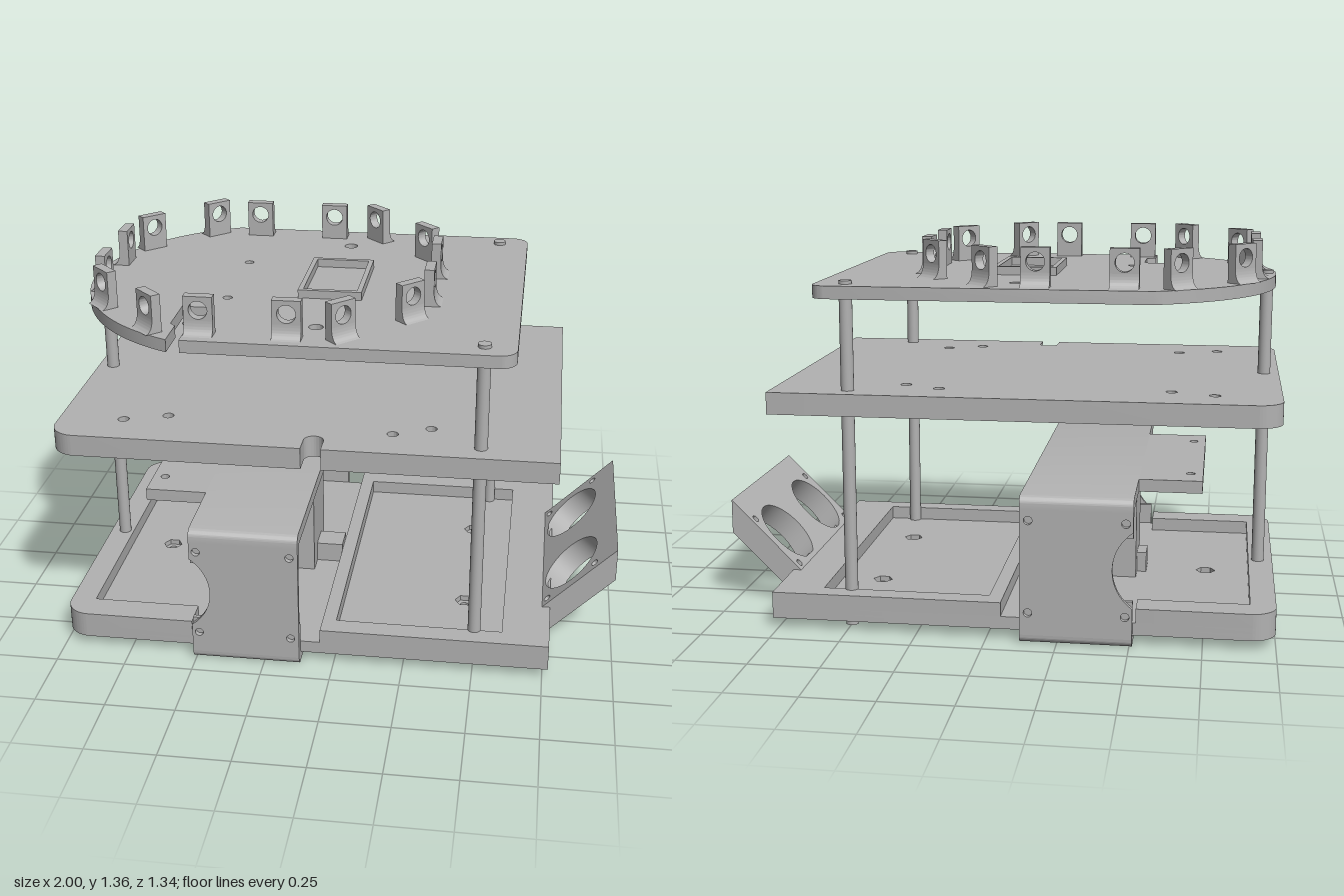
import * as THREE from 'three';
import { toCreasedNormals } from 'three/addons/utils/BufferGeometryUtils.js';

const grey = new THREE.MeshStandardMaterial({ color: 0xb2b2b2 });
grey.name = 'plain grey';

function add(parent, name, geometry) {
  const mesh = new THREE.Mesh(geometry, grey);
  mesh.name = name;
  parent.add(mesh);
  return mesh;
}

const poly = (pts) => new THREE.Shape(pts.map(([x, y]) => new THREE.Vector2(x, y)));

function extrude(shape, depth) {
  const g = new THREE.ExtrudeGeometry(shape, { depth, bevelEnabled: false, curveSegments: 20 });
  return toCreasedNormals(g, 0.6);
}

// Horizontal plate from an (x, z) outline
const slab = (shape, y0, y1) => extrude(shape, y1 - y0).rotateX(Math.PI / 2).translate(0, y1, 0);

// Bar running along x from a (z, y) outline that is symmetric in z
const barX = (shape, x0, x1) => extrude(shape, x1 - x0).rotateY(Math.PI / 2).translate(x0, 0, 0);

function box(parent, name, x0, x1, y0, y1, z0, z1) {
  const g = new THREE.BoxGeometry(x1 - x0, y1 - y0, z1 - z0);
  return add(parent, name, g.translate((x0 + x1) / 2, (y0 + y1) / 2, (z0 + z1) / 2));
}

function drill(shape, holes, r) {
  for (const [x, y] of holes) shape.holes.push(new THREE.Path().absarc(x, y, r, 0, Math.PI * 2, true));
  return shape;
}

const bothSides = (pts) => pts.flatMap(([x, z]) => [[x, z], [x, -z]]);

// Rectangular deck with rounded corners at -x, optionally notched at +z
function deckShape(notch) {
  const s = new THREE.Shape(), c = 0.09, w = 0.637;
  s.moveTo(-1 + c, -w);
  s.lineTo(0.77, -w);
  s.lineTo(0.77, w);
  if (notch) {
    s.lineTo(-0.04, w);
    s.lineTo(-0.04, w - 0.07);
    s.absarc(-0.075, w - 0.07, 0.035, 0, Math.PI, true);
    s.lineTo(-0.11, w);
  }
  s.lineTo(-1 + c, w);
  s.absarc(-1 + c, w - c, c, Math.PI / 2, Math.PI, false);
  s.absarc(-1 + c, -w + c, c, Math.PI, Math.PI * 1.5, false);
  return s;
}

function buildBase(root) {
  const g = new THREE.Group();
  g.name = 'baseTray';
  root.add(g);
  const nuts = [[0.45, 0.28], [0.45, -0.28], [-0.75, 0]];
  add(g, 'trayBottom', slab(drill(deckShape(false), nuts, 0.016), 0.035, 0.06));
  const floor = deckShape(false);
  for (const [x, z] of nuts) {
    const hex = [...Array(6).keys()].map((i) => new THREE.Vector2(
      x + 0.036 * Math.cos(-i * Math.PI / 3), z + 0.036 * Math.sin(-i * Math.PI / 3)));
    floor.holes.push(new THREE.Path(hex));
  }
  add(g, 'trayFloor', slab(floor, 0.06, 0.08));

  // Raised rims, open at the sides where the bracket passes
  const c = 0.09, w = 0.637;
  const back = new THREE.Shape();
  back.moveTo(-1 + c, -w);
  for (const [x, z] of [[-0.52, -w], [-0.52, -0.53], [-0.91, -0.53], [-0.91, 0.53], [-0.52, 0.53], [-0.52, w], [-1 + c, w]]) back.lineTo(x, z);
  back.absarc(-1 + c, w - c, c, Math.PI / 2, Math.PI, false);
  back.absarc(-1 + c, -w + c, c, Math.PI, Math.PI * 1.5, false);
  add(g, 'rearRim', slab(back, 0.08, 0.13));
  const front = poly([[-0.05, -w], [0.77, -w], [0.77, w], [-0.05, w]]);
  front.holes.push(poly([[0, -0.56], [0, 0.56], [0.6, 0.56], [0.6, -0.56]]));
  add(g, 'frontRim', slab(front, 0.08, 0.13));
}

// Sloping plate with two large sensor openings
function buildSensorMount(root) {
  const L = 0.325, t = 0.088;
  const s = poly([[-0.37, 0], [0.37, 0], [0.37, L], [-0.37, L]]);
  drill(s, [[-0.2, 0.188], [0.2, 0.188]], 0.128);
  drill(s, bothSides([[0.07, 0.333], [0.302, 0.333]]).map(([v, u]) => [u, v]), 0.014);
  let g = new THREE.ExtrudeGeometry(s, { depth: t, bevelEnabled: false, curveSegments: 24 });
  // Slant the two ends
  const p = g.attributes.position;
  for (let i = 0; i < p.count; i++) {
    if (p.getZ(i) < t / 2) continue;
    if (p.getY(i) < 1e-4) p.setY(i, 0.046);
    else if (p.getY(i) > L - 1e-4) p.setY(i, 0.413);
  }
  g = toCreasedNormals(g, 0.6);
  const k = Math.SQRT1_2;
  g.applyMatrix4(new THREE.Matrix4().makeBasis(
    new THREE.Vector3(0, 0, 1), new THREE.Vector3(k, k, 0), new THREE.Vector3(-k, k, 0)).setPosition(0.77, 0.035, 0));
  add(root, 'sensorMount', g);
}

function buildBracket(root) {
  const g = new THREE.Group();
  g.name = 'bracket';
  root.add(g);
  const x0 = -0.51, x1 = -0.12, r = 0.03, w = 0.672;

  // Bridge across the top with rounded outer edges
  const top = poly([[-w, 0.48], [w, 0.48]]);
  top.absarc(w - r, 0.525 - r, r, 0, Math.PI / 2, false);
  top.absarc(-w + r, 0.525 - r, r, Math.PI / 2, Math.PI, false);
  add(g, 'bridge', barX(top, x0, x1));
  const shelf = poly([[-0.735, -0.38], [x0, -0.38], [x0, 0.38], [-0.735, 0.38]]);
  add(g, 'shelf', slab(drill(shelf, bothSides([[-0.69, 0.27]]), 0.016), 0.48, 0.525));

  // Side panels with a curved cut-out, pads behind the screws and a foot below
  const panel = poly([[x0, 0.03], [x1, 0.03], [x1, 0.48], [x0, 0.48]]);
  const a = Math.atan2(0.135, 0.095);
  panel.absarc(-0.605, 0.275, 0.165, a, -a, true);
  drill(panel, [[-0.485, 0.44], [-0.15, 0.44], [-0.485, 0.11], [-0.15, 0.11]], 0.015);
  for (const side of [1, -1]) {
    const name = side > 0 ? 'left' : 'right';
    add(g, name + 'Panel', extrude(panel, 0.018).translate(0, 0, side > 0 ? w - 0.018 : -w));
    for (const [y0, y1] of [[0.385, 0.48], [0.03, 0.16]]) {
      const [za, zb] = side > 0 ? [0.638, w - 0.018] : [-w + 0.018, -0.638];
      box(g, name + 'Pad', x0, x1, y0, y1, za, zb);
    }
    const foot = new THREE.Shape();
    foot.moveTo(-0.4, 0);
    foot.lineTo(-0.4, 0.03);
    foot.lineTo(-w, 0.03);
    foot.absarc(-w + 0.025, 0.025, 0.025, Math.PI, Math.PI * 1.5, false);
    const fg = barX(foot, x0, x1);
    if (side < 0) fg.rotateY(Math.PI).translate(x0 + x1, 0, 0);
    add(g, name + 'Foot', fg);
  }

  // Central pillar with locating tabs
  box(g, 'pillar', -0.49, -0.15, 0.08, 0.48, -0.125, 0.125);
  box(g, 'pillarTabs', -0.525, -0.05, 0.08, 0.155, -0.05, 0.05);
}

function buildTopDeck(root) {
  const g = new THREE.Group();
  g.name = 'topDeck';
  root.add(g);
  const w = 0.632, c = 0.06, s = new THREE.Shape();
  s.moveTo(-0.56, -w);
  s.absarc(0.61 - c, -w + c, c, -Math.PI / 2, 0, false);
  s.absarc(0.61 - c, w - c, c, 0, Math.PI / 2, false);
  // Cable slot
  for (const [x, z] of [[-0.515, w], [-0.515, 0.5], [-0.48, 0.48], [-0.48, 0.31], [-0.58, 0.31], [-0.58, 0.48], [-0.56, 0.5], [-0.56, w]]) s.lineTo(x, z);
  const a = Math.atan2(w, -0.27);
  s.absarc(-0.29, 0, Math.hypot(0.27, w), a, 2 * Math.PI - a, false);
  drill(s, bothSides([[-0.08, 0.45]]), 0.025);
  drill(s, bothSides([[-0.44, 0.2]]), 0.017);
  add(g, 'topPlate', slab(s, 1.18, 1.225));

  // Raised rectangular lip
  const lip = poly([[-0.19, -0.2], [0.04, -0.2], [0.04, 0.17], [-0.19, 0.17]]);
  lip.holes.push(poly([[-0.172, -0.182], [-0.172, 0.152], [0.022, 0.152], [0.022, -0.182]]));
  add(g, 'lip', slab(lip, 1.225, 1.255));

  // Ring of eight pairs of drilled tabs with curved feet
  const tab = drill(poly([[-0.05, 0], [0.05, 0], [0.05, 0.135], [-0.05, 0.135]]), [[0, 0.087]], 0.032);
  const tabGeo = extrude(tab, 0.035);
  const foot = new THREE.Shape();
  foot.moveTo(0, 0);
  foot.lineTo(0.027, 0);
  foot.quadraticCurveTo(0.002, 0.008, 0, 0.05);
  const footGeo = extrude(foot, 0.1).rotateY(-Math.PI / 2).translate(0.05, 0, 0.035);
  const radii = [0.538, 0.595, 0.576, 0.595];
  for (let i = 0; i < 8; i++) {
    const pair = new THREE.Group();
    pair.name = 'tabPair';
    pair.position.set(-0.31, 1.225, 0);
    pair.rotation.y = i * Math.PI / 4;
    g.add(pair);
    for (const x of [-0.15, 0.15]) {
      add(pair, 'tab', tabGeo).position.set(x, 0, radii[i % 4]);
      add(pair, 'tabFoot', footGeo).position.set(x, 0, radii[i % 4]);
    }
  }
}

export function createModel() {
  const root = new THREE.Group();
  root.name = 'layeredChassis';
  buildBase(root);
  buildSensorMount(root);
  buildBracket(root);

  // Middle deck
  const holes = bothSides([[-0.77, 0.48], [-0.62, 0.43], [0.19, 0.48], [0.32, 0.42]]);
  add(root, 'middleDeck', slab(drill(deckShape(true), holes, 0.02), 0.775, 0.853));

  buildTopDeck(root);

  // Support rods
  for (const [x, z] of [[-0.945, 0], [0.5, 0.555], [0.5, -0.555]]) {
    const rod = new THREE.CylinderGeometry(0.023, 0.023, 1.237, 24);
    add(root, 'rod', rod).position.set(x, 0.6185, z);
  }
  return root;
}
